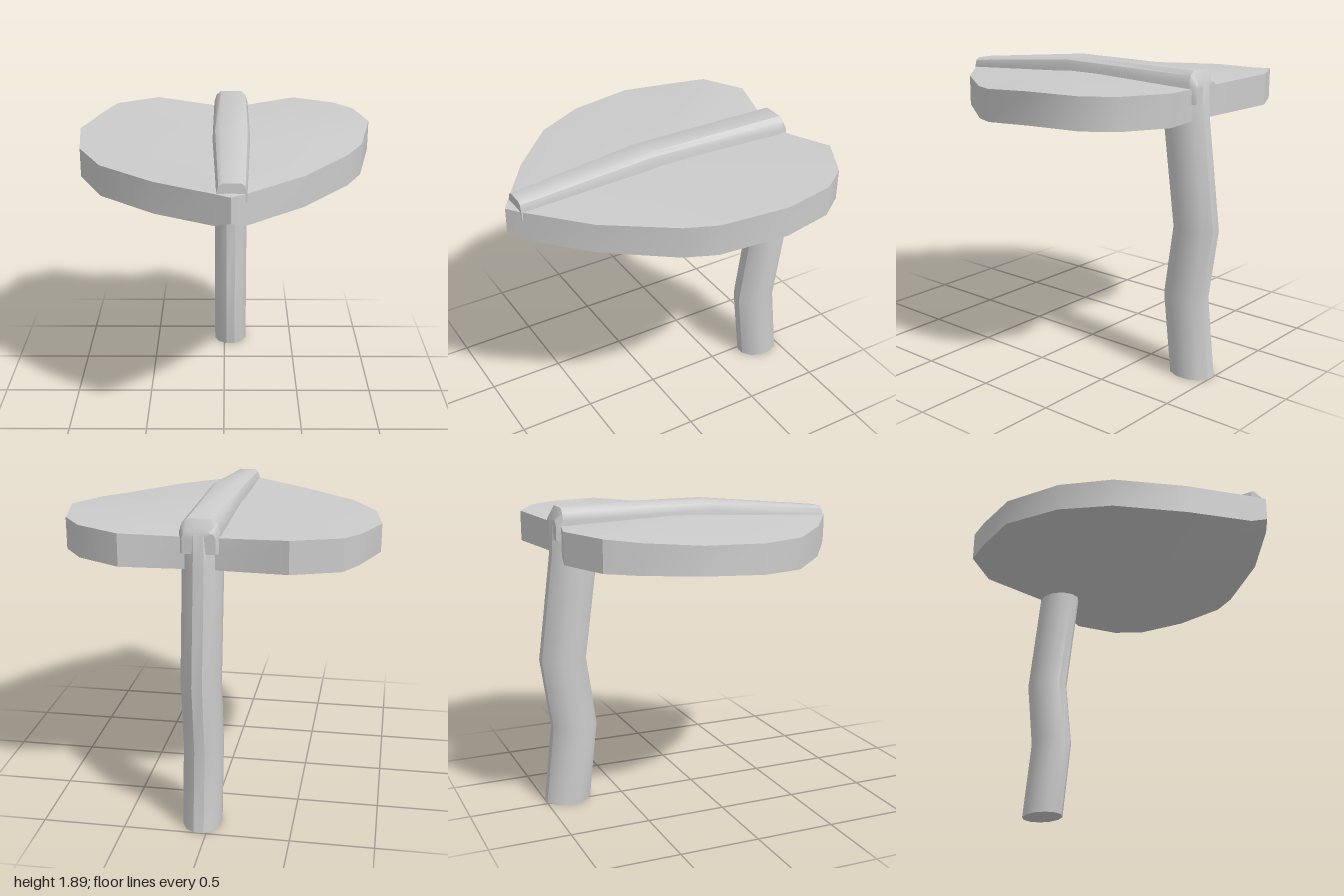
import * as THREE from 'three';
import { toCreasedNormals } from 'three/addons/utils/BufferGeometryUtils.js';

const CX = 0.045; // middle line of stem and rib

// Skin a list of rings (counter-clockwise seen from the last ring) and cap both ends.
function loft(rings, crease, centres) {
  const n = rings[0].length;
  const pos = rings.flat(2);
  const last = rings.length - 1;
  const mean = (r) => [0, 1, 2].map((k) => r.reduce((s, p) => s + p[k], 0) / n);
  const [c0, c1] = centres || [mean(rings[0]), mean(rings[last])];
  pos.push(...c0, ...c1);
  const start = rings.length * n;
  const index = [];
  for (let i = 0; i < n; i++) {
    const j = (i + 1) % n;
    for (let r = 0; r < last; r++) {
      const a = r * n, b = a + n;
      index.push(a + i, a + j, b + j, a + i, b + j, b + i);
    }
    index.push(start, j, i, start + 1, last * n + i, last * n + j);
  }
  const geo = new THREE.BufferGeometry();
  geo.setAttribute('position', new THREE.Float32BufferAttribute(pos, 3));
  geo.setIndex(index);
  return toCreasedNormals(geo, crease);
}

export function createModel() {
  const group = new THREE.Group();
  const material = new THREE.MeshStandardMaterial({ color: 0xcccccc });
  const add = (name, geometry) => {
    const mesh = new THREE.Mesh(geometry, material);
    mesh.name = name;
    group.add(mesh);
  };

  // Heart-shaped leaf: outline x, z, top height, bottom height
  const outline = [
    [0.04, 1.0, 1.75, 1.6], [0.12, 0.94, 1.75, 1.565], [0.46, 0.64, 1.755, 1.57],
    [0.75, 0.25, 1.765, 1.57], [0.85, 0.07, 1.78, 1.585], [0.94, -0.33, 1.82, 1.63],
    [0.875, -0.66, 1.82, 1.63], [0.75, -0.83, 1.82, 1.63], [0.485, -0.975, 1.82, 1.63],
    [0.1, -0.86, 1.785, 1.6], [-0.02, -0.86, 1.785, 1.6], [-0.465, -0.98, 1.82, 1.63],
    [-0.745, -0.845, 1.81, 1.62], [-0.83, -0.66, 1.79, 1.61], [-0.94, -0.33, 1.77, 1.6],
    [-0.895, 0.07, 1.75, 1.57], [-0.74, 0.385, 1.74, 1.55], [-0.4, 0.7, 1.74, 1.55],
    [-0.05, 0.94, 1.75, 1.565],
  ];
  add('leaf', loft(
    [outline.map(([x, z, , b]) => [x, b, z]), outline.map(([x, z, t]) => [x, t, z])],
    0.5,
    [[CX, 1.58, 0.1], [CX, 1.81, 0.1]],
  ));

  // Bent stem: y, z, half width, half depth
  const stem = [
    [0, -0.855, 0.115, 0.143], [0.5, -0.797, 0.115, 0.143], [0.94, -0.857, 0.115, 0.143],
    [1.62, -0.765, 0.115, 0.145], [1.81, -0.765, 0.112, 0.135], [1.88, -0.755, 0.08, 0.11],
  ];
  add('stem', loft(stem.map(([y, z, w, d]) =>
    Array.from({ length: 12 }, (_, i) => {
      const a = ((i + 0.5) / 12) * Math.PI * 2;
      return [CX + (w * Math.cos(a)) / Math.cos(Math.PI / 12), y, z - (d * Math.sin(a)) / Math.cos(Math.PI / 12)];
    })), 0.6));

  // Raised rib along the leaf: z, half width, bottom, shoulder, top
  const rib = [
    [-0.9, 0.095, 1.7, 1.79, 1.82], [-0.86, 0.115, 1.7, 1.82, 1.893],
    [0.1, 0.115, 1.7, 1.835, 1.895], [0.94, 0.085, 1.7, 1.76, 1.81],
  ];
  add('rib', loft(rib.map(([z, w, b, s, t]) => [
    [-w, b], [w, b], [w, s], [w * 0.87, (s + t) / 2 + 0.01], [w * 0.6, t],
    [-w * 0.6, t], [-w * 0.87, (s + t) / 2 + 0.01], [-w, s],
  ].map(([x, y]) => [CX + x, y, z])), 0.6));

  return group;
}
